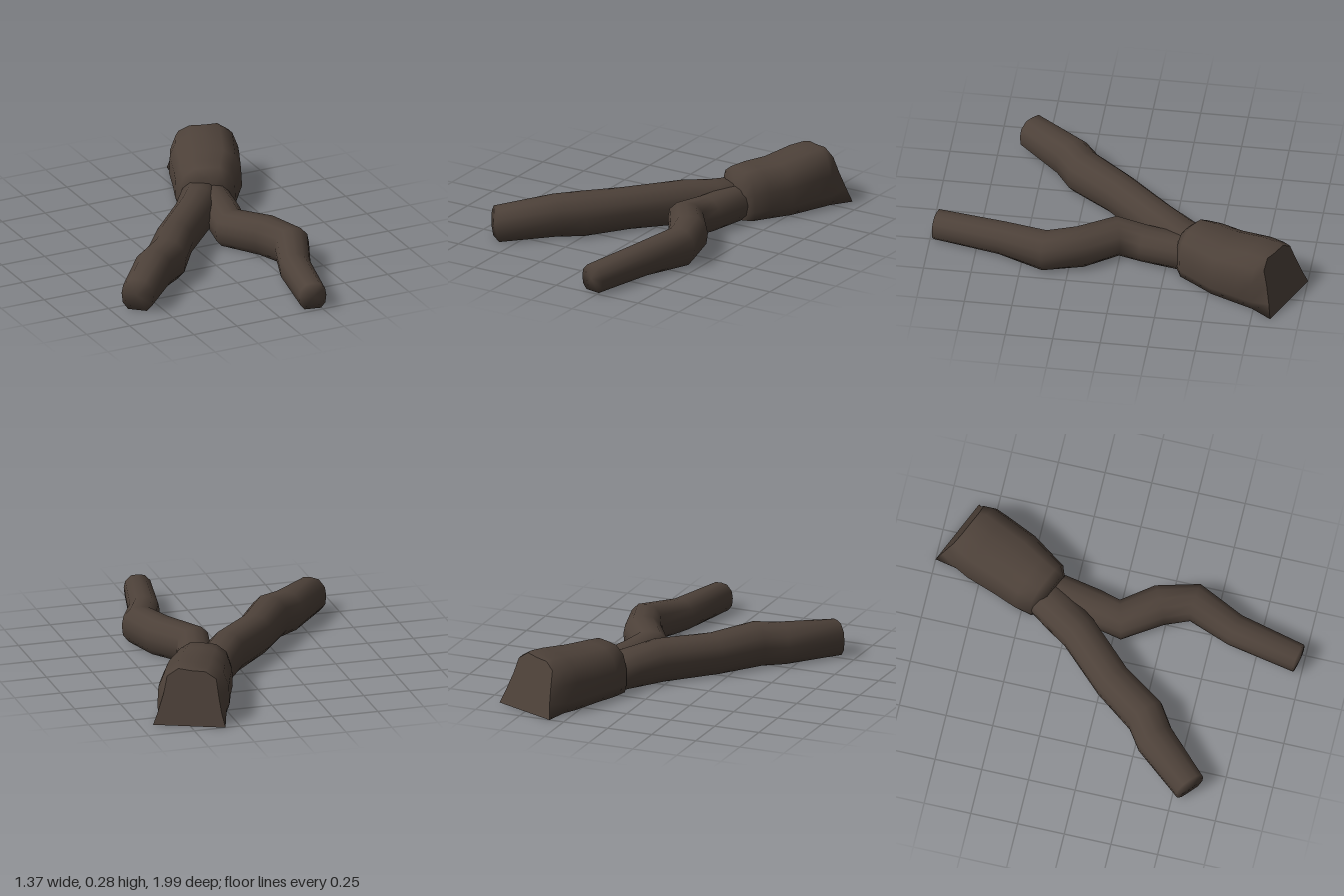
import * as THREE from 'three';

// Unit cross-section, left foot over the top to right foot: [across, height]
const ROUND = [[-0.6, 0], [-0.93, 0.2], [-1, 0.5], [-0.9, 0.76], [-0.5, 0.97], [0, 1],
  [0.5, 0.97], [0.9, 0.76], [1, 0.5], [0.93, 0.2], [0.6, 0]];
const ARCH = [[-0.9, 0], [-1, 0.2], [-0.98, 0.55], [-0.83, 0.82], [-0.45, 0.98], [0, 1],
  [0.45, 1], [0.8, 0.86], [0.97, 0.58], [1, 0.2], [0.9, 0]];
const FLARE = [[-1, 0], [-0.88, 0.25], [-0.78, 0.55], [-0.7, 0.84], [-0.4, 0.96], [0, 0.97],
  [0.36, 1], [0.66, 0.86], [0.73, 0.58], [0.87, 0.25], [1, 0]];

// Skin a run of sections { x, z, w: half width, h: height, profile, lean }
// with rounded caps; a fixed axis keeps every section parallel.
function loft(sections, { axis, bulge = 0.012, sharpEnd = false }) {
  const pos = [], index = [], n = ROUND.length;
  const dirs = sections.map((s, i) => {
    if (axis) return axis.clone().normalize();
    const a = sections[Math.max(i - 1, 0)], b = sections[Math.min(i + 1, sections.length - 1)];
    return new THREE.Vector2(b.x - a.x, b.z - a.z).normalize();
  });
  const addRing = (s, d) => {
    for (const [u, v] of s.profile) {
      const back = (s.lean || 0) * v;
      pos.push(s.x - d.y * u * s.w - d.x * back, v * s.h, s.z + d.x * u * s.w - d.y * back);
    }
  };
  sections.forEach((s, i) => addRing(s, dirs[i]));
  for (let i = 0; i < sections.length - 1; i++) {
    for (let j = 0; j < n; j++) {
      const k = (j + 1) % n, a = i * n + j, b = i * n + k;
      index.push(a, b, a + n, b, b + n, a + n);
    }
  }
  const cap = (i, sign, ring) => {
    const s = sections[i], d = dirs[i], c = pos.length / 3;
    const out = sign * bulge - (s.lean || 0) * 0.5;
    pos.push(s.x + d.x * out, s.h * 0.5, s.z + d.y * out);
    for (let j = 0; j < n; j++) {
      const a = ring + j, b = ring + (j + 1) % n;
      if (sign > 0) index.push(c, a, b); else index.push(c, b, a);
    }
  };
  cap(0, -1, 0);
  const last = sections.length - 1;
  let endRing = last * n;
  if (sharpEnd) {
    endRing = pos.length / 3;
    addRing(sections[last], dirs[last]);
  }
  cap(last, 1, endRing);
  const geo = new THREE.BufferGeometry();
  geo.setAttribute('position', new THREE.Float32BufferAttribute(pos, 3));
  geo.setIndex(index);
  geo.computeVertexNormals();
  return geo;
}

const rows = (list, profile) => list.map(([x, z, w, h]) => ({ x, z, w, h, profile }));

export function createModel() {
  const group = new THREE.Group();
  const bark = new THREE.MeshStandardMaterial({ color: 0x4d4139 });
  bark.name = 'bark';
  const add = (name, geo) => {
    const mesh = new THREE.Mesh(geo, bark);
    mesh.name = name;
    group.add(mesh);
  };

  // Thick trunk stump with a flared, leaning cut at the back
  const trunk = rows([
    [0.26, -0.345, 0.09, 0.215], [0.265, -0.39, 0.148, 0.25], [0.3, -0.47, 0.165, 0.255],
    [0.36, -0.58, 0.18, 0.257], [0.42, -0.735, 0.186, 0.28], [0.455, -0.81, 0.182, 0.285],
  ], ARCH);
  trunk.push({ x: 0.505, z: -0.925, w: 0.19, h: 0.285, profile: FLARE, lean: 0.09 });
  add('trunk', loft(trunk, { axis: new THREE.Vector2(0.4, -0.917), bulge: 0, sharpEnd: true }));

  // Long, nearly straight branch
  add('longBranch', loft(rows([
    [-0.622, 0.583, 0.086, 0.175], [-0.41, 0.345, 0.103, 0.203], [-0.3, 0.27, 0.106, 0.215],
    [-0.15, 0.06, 0.1, 0.2], [0.07, -0.17, 0.1, 0.21], [0.17, -0.31, 0.105, 0.188],
    [0.27, -0.46, 0.1, 0.18],
  ], ROUND), {}));

  // Shorter, crooked branch
  add('crookedBranch', loft(rows([
    [0.205, 0.972, 0.073, 0.143], [0.28, 0.615, 0.082, 0.155], [0.375, 0.38, 0.096, 0.19],
    [0.318, 0.2, 0.102, 0.19], [0.195, 0.02, 0.1, 0.182], [0.232, -0.13, 0.095, 0.17],
    [0.275, -0.33, 0.09, 0.17], [0.31, -0.46, 0.09, 0.17],
  ], ROUND), {}));

  return group;
}
